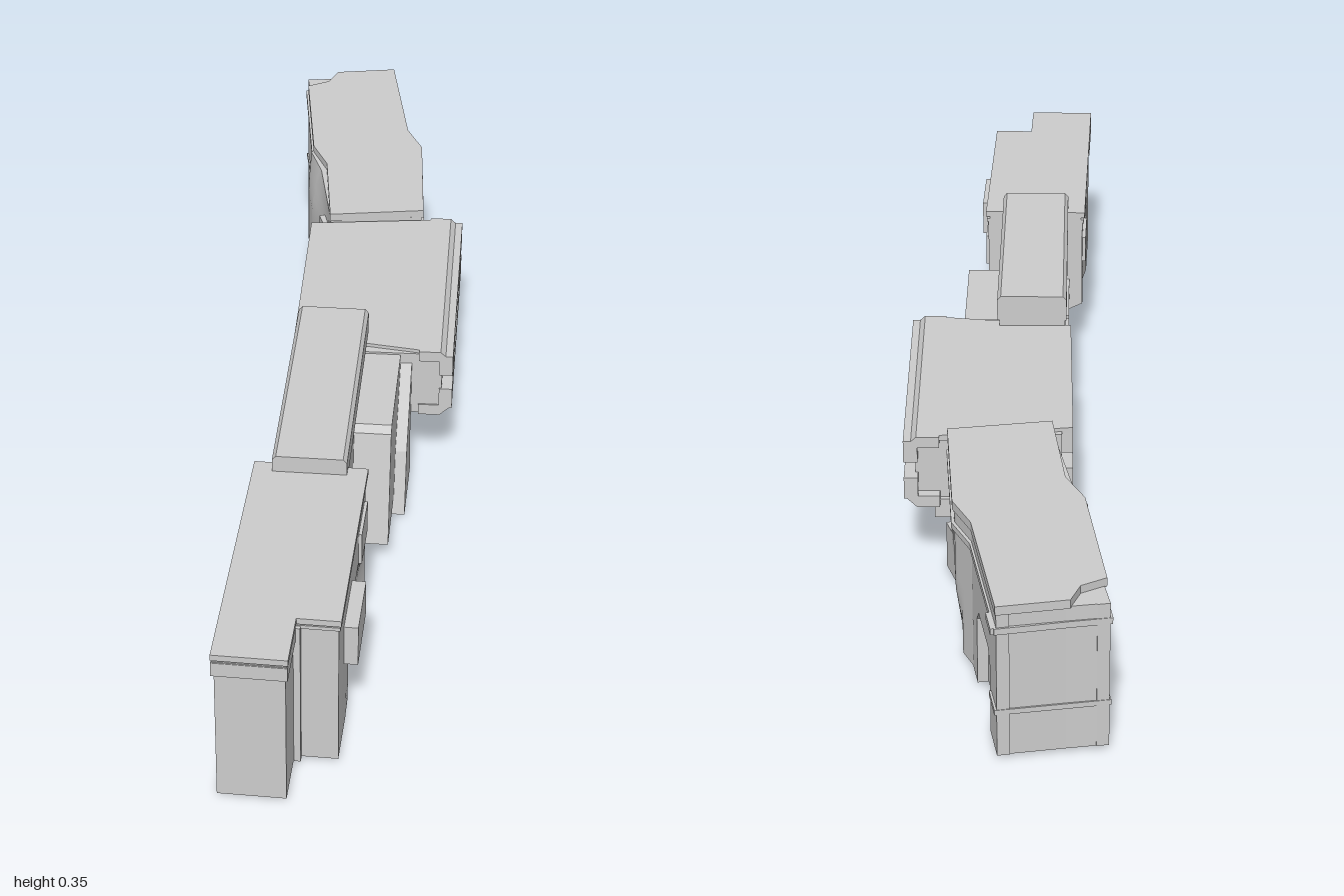
import * as THREE from 'three';

const grey = new THREE.MeshStandardMaterial({ color: 0xcccccc });
const hat = (v, c, w) => Math.max(0, 1 - Math.abs(v - c) / w);
const clamp01 = (v) => Math.min(1, Math.max(0, v));

function add(parent, name, geo) {
  const m = new THREE.Mesh(geo, grey);
  m.name = name;
  parent.add(m);
  return m;
}

// Box given by its limits
function box(parent, name, x0, x1, y0, y1, z0, z1) {
  const g = new THREE.BoxGeometry(x1 - x0, y1 - y0, z1 - z0);
  g.translate((x0 + x1) / 2, (y0 + y1) / 2, (z0 + z1) / 2);
  return add(parent, name, g);
}

const shapeOf = (pts) => new THREE.Shape(pts.map((p) => new THREE.Vector2(...p)));

// Side profile of [z, y] points, extruded across the wall
function side(parent, name, pts, x0, x1) {
  const g = new THREE.ExtrudeGeometry(shapeOf(pts), { depth: x1 - x0, bevelEnabled: false });
  g.rotateY(-Math.PI / 2).translate(x1, 0, 0);
  return add(parent, name, g);
}

// Cross-section of [x, y] points, extruded along the wall
function along(parent, name, pts, z0, z1) {
  const g = new THREE.ExtrudeGeometry(shapeOf(pts), { depth: z1 - z0, bevelEnabled: false });
  return add(parent, name, g.translate(0, 0, z0));
}

// Plan outline of [x, z] points, extruded upwards
function plan(parent, name, pts, y0, y1) {
  const g = new THREE.ExtrudeGeometry(shapeOf(pts.map(([x, z]) => [x, -z])), { depth: y1 - y0, bevelEnabled: false });
  return add(parent, name, g.rotateX(-Math.PI / 2).translate(0, y0, 0));
}

// Wall between a right and a left edge line (front to back); deform gives [inward, lift]
function wall(parent, name, right, left, y0, y1, deform) {
  const n = right.length - 1;
  const g = new THREE.BoxGeometry(1, 1, 1, 6, 12, n * 8);
  const p = g.attributes.position;
  const at = (line, u) => {
    const i = Math.min(n - 1, Math.floor(u + 1e-6)), f = u - i;
    return [0, 1].map((k) => line[i][k] + (line[i + 1][k] - line[i][k]) * f);
  };
  for (let i = 0; i < p.count; i++) {
    const s = p.getX(i) + 0.5, h = p.getY(i) + 0.5, u = (0.5 - p.getZ(i)) * n;
    const r = at(right, u), l = at(left, u);
    const y = y0 + (y1 - y0) * h;
    const [ri, rl] = deform(r[1], y, 1), [li, ll] = deform(l[1], y, -1);
    const xr = r[0] - ri, xl = l[0] + li;
    p.setXYZ(i, xl + (xr - xl) * s, y + (ll + (rl - ll) * s) * (1 - h), l[1] + (r[1] - l[1]) * s);
  }
  g.computeVertexNormals();
  return add(parent, name, g);
}

function section(root, name, degrees) {
  const g = new THREE.Group();
  g.name = name;
  g.rotation.y = THREE.MathUtils.degToRad(degrees);
  root.add(g);
  return g;
}

function frontBlock(root) {
  const g = section(root, 'frontBlock', -20);
  const outline = (d) => [[-0.06 + d, 0.486], [0.148 - d, 0.486], [0.148 - d, 0.925 - d],
    [0.071 - d, 0.925 - d], [0.071 - d, 1.037 - d], [-0.06 + d, 1.037 - d]];
  plan(g, 'frontCap', outline(0), 0.306, 0.318);
  plan(g, 'frontCapGroove', outline(0.008), 0.29, 0.306);
  plan(g, 'frontCornice', outline(0.002), 0.295, 0.302);
  box(g, 'endBand', -0.06, 0.07, 0.272, 0.3, 0.9, 1.036);
  // Lower walls are pressed in, and the left one rises towards the back
  wall(g, 'frontWall', [[0.143, 0.92], [0.143, 0.486]], [[-0.055, 0.92], [-0.055, 0.486]], 0.006, 0.297,
    (z, y, s) => s > 0
      ? [0.08 * hat(z, 0.63, 0.13) * clamp01(1 - y / 0.16), 0.045 * hat(z, 0.62, 0.1)]
      : [0.03 * hat(z, 0.7, 0.15) * clamp01(1 - y / 0.2), 0.1 * clamp01((0.72 - z) / 0.23)]);
  box(g, 'rearFoot', 0.05, 0.138, 0.006, 0.055, 0.49, 0.55);
  box(g, 'endPillar', -0.055, 0.066, 0.006, 0.28, 0.9, 1.031);
  box(g, 'cornerPost', 0.066, 0.078, 0.002, 0.3, 0.91, 0.93);
  side(g, 'windowBox', [[0.71, 0.165], [0.84, 0.155], [0.84, 0.237], [0.71, 0.237]], 0.14, 0.168);
  box(g, 'sidePanel', 0.14, 0.149, 0.19, 0.255, 0.5, 0.6);
  box(g, 'leftPanel', -0.062, -0.05, 0.2, 0.255, 0.5, 0.6);
}

function raisedBlock(root) {
  const g = section(root, 'raisedBlock', -18.6);
  along(g, 'raisedCap', [[-0.037, 0.3], [0.099, 0.3], [0.099, 0.343], [0.092, 0.351], [-0.03, 0.351], [-0.037, 0.343]], 0.012, 0.512);
  side(g, 'raisedBody', [[0.51, 0.13], [0.51, 0.3], [0.014, 0.3], [0.014, 0.27], [-0.15, 0.27], [-0.15, 0.13]], -0.034, 0.095);
  // Open underside: a left skirt with cross blocks
  box(g, 'leftSkirt', -0.034, 0.01, 0.04, 0.13, -0.15, 0.49);
  box(g, 'middleCrossBlock', 0.01, 0.09, 0.04, 0.13, 0.06, 0.29);
  box(g, 'rearCrossBlock', 0.01, 0.08, 0.04, 0.13, -0.15, -0.09);
  // Slot frame on the left wall
  box(g, 'slotUpperLip', -0.04, -0.034, 0.155, 0.163, 0.31, 0.505);
  box(g, 'slotLowerLip', -0.04, -0.034, 0.12, 0.128, 0.31, 0.505);
  // Leaning buttress with its splayed foot
  side(g, 'buttress', [[0.35, 0.04], [0.305, 0.265], [0.29, 0.276], [0.03, 0.276], [0.03, 0.15], [0.12, 0.13], [0.2, 0.04]], 0.09, 0.165);
  side(g, 'buttressFoot', [[0.205, 0.004], [0.17, 0.13], [0.1, 0.2], [0.05, 0.26], [0.03, 0.26], [0.06, 0.1], [0.035, 0]], 0.15, 0.187);
}

function wideBlock(root) {
  const g = section(root, 'wideBlock', -17.7);
  // Core with the groove depth already taken off
  along(g, 'wideCore', [[-0.025, 0.15], [0.22, 0.142], [0.245, 0.16], [0.245, 0.265], [0.22, 0.28], [-0.025, 0.28]], -0.42, 0.055);
  plan(g, 'wideTop', [[-0.046, -0.405], [0.242, -0.44], [0.242, 0.058], [-0.046, 0.015]], 0.276, 0.287);
  along(g, 'topChamfer', [[0.2, 0.265], [0.266, 0.265], [0.242, 0.287], [0.2, 0.287]], -0.442, 0.058);
  along(g, 'bottomChamfer', [[0.2, 0.14], [0.242, 0.14], [0.266, 0.163], [0.2, 0.163]], -0.442, 0.058);
  // Rails leave a groove that widens into a hexagonal recess
  for (const [x0, x1] of [[0.24, 0.266], [-0.046, -0.02]]) {
    const z1 = x0 > 0 ? 0.058 : 0.012, z0 = x0 > 0 ? -0.442 : -0.405;
    for (const d of [1, -1]) {
      const y = (v) => 0.218 + d * v;
      side(g, 'grooveRail', [[z1, y(0.016)], [-0.06, y(0.016)], [-0.08, y(0.031)], [-0.23, y(0.031)], [-0.25, y(0.016)],
        [z0, y(0.016)], [z0, y(0.06)], [z1, y(0.06)]], x0, x1);
    }
  }
  side(g, 'underWedge', [[0.03, 0.15], [-0.43, 0.15], [-0.43, 0.112]], 0, 0.21);
}

function rearBlock(root) {
  const g = section(root, 'rearBlock', 0);
  const right = [[0.31, -0.365], [0.375, -0.62], [0.365, -0.7], [0.405, -0.975]];
  const left = [[0.118, -0.395], [0.16, -0.6], [0.15, -0.68], [0.21, -1]];
  // Cap with its rear left corner chipped away
  plan(g, 'rearCap', [...right, [0.28, -0.992], [0.25, -0.955], [0.2, -0.945], [0.15, -0.68], [0.16, -0.6], [0.118, -0.395]], 0.288, 0.305);
  wall(g, 'rearLedge', right.map(([x, z]) => [x + 0.002, z]), left.map(([x, z]) => [x - 0.002, z]), 0.25, 0.262, () => [0, 0]);
  // Side walls: pressed in at the right foot, bulging on the left, thinner at the doorways
  const bodyRight = [[0.306, -0.365], [0.371, -0.62], [0.361, -0.7], [0.345, -0.708], [0.38, -0.972]];
  const bodyLeft = [[0.12, -0.398], [0.148, -0.6], [0.145, -0.68], [0.18, -0.72], [0.23, -0.996]];
  wall(g, 'rearWall', bodyRight, bodyLeft, 0.008, 0.29, (z, y, s) => s > 0
    ? [0.08 * hat(z, -0.52, 0.13) * clamp01(1 - y / 0.13), 0.06 * hat(z, -0.51, 0.1)]
    : [-0.02 * hat(z, -0.6, 0.12) * clamp01((0.29 - y) / 0.08), 0]);
  box(g, 'frontFoot', 0.17, 0.312, 0.008, 0.102, -0.42, -0.355);
  box(g, 'leftWindowUpper', 0.12, 0.15, 0.2, 0.24, -0.5, -0.41);
  box(g, 'leftWindowLower', 0.12, 0.15, 0.14, 0.19, -0.5, -0.41);

  // Outer skins with arched doorways
  const skin = section(root, 'rearSkins', -8.3);
  const arch = [[-1.02, 0.008], [-0.947, 0.008], [-0.947, 0.14], [-0.925, 0.165], [-0.818, 0.165], [-0.795, 0.14],
    [-0.795, 0.008], [-0.742, 0.008], [-0.742, 0.29], [-1.02, 0.29]];
  side(skin, 'rightDoorway', arch, 0.236, 0.258);
  side(skin, 'leftDoorway', arch, 0.066, 0.088);
  box(skin, 'rearFace', 0.066, 0.258, 0.008, 0.29, -1.018, -0.99);
  box(skin, 'rearLowBand', 0.063, 0.262, 0.09, 0.1, -1.021, -0.96);
  box(skin, 'rearHighBand', 0.062, 0.268, 0.25, 0.262, -1.021, -0.97);
}

export function createModel() {
  const root = new THREE.Group();
  root.name = 'barrierWall';
  frontBlock(root);
  raisedBlock(root);
  wideBlock(root);
  rearBlock(root);
  return root;
}
